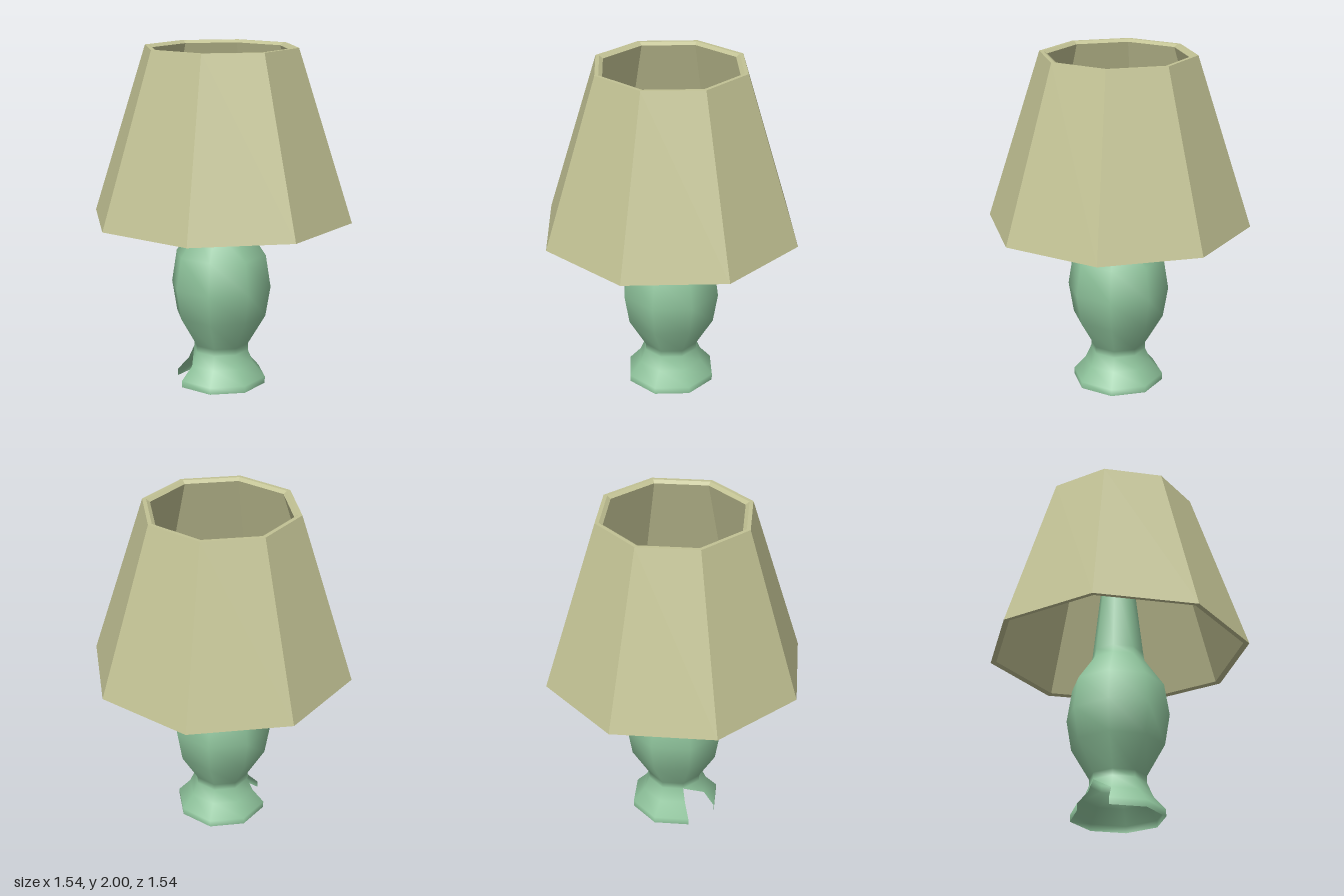
import * as THREE from 'three';

const SIDES = 8;
const points = (list) => list.map(([r, y]) => new THREE.Vector2(r, y));

// Thin-walled eight-sided shade, open at both ends
function makeShade() {
  const profile = points([
    [0.735, 1.015], [0.77, 1.01], [0.45, 2], [0.427, 2], [0.405, 1.985], [0.735, 1.015],
  ]);
  const material = new THREE.MeshStandardMaterial({
    color: 0xc2c294, flatShading: true, side: THREE.DoubleSide,
  });
  const shade = new THREE.Mesh(new THREE.LatheGeometry(profile, SIDES), material);
  shade.name = 'lampShade';
  return shade;
}

// Smooth-shaded vase body: foot, waist, belly and tapering open neck
function makeBody() {
  const profile = points([
    [0.27, 0], [0.27, 0.04], [0.2, 0.12], [0.165, 0.2], [0.165, 0.24], [0.27, 0.42],
    [0.3, 0.6], [0.27, 0.79], [0.158, 0.95], [0.15, 1.0], [0.1, 1.44],
  ]);
  const geometry = new THREE.LatheGeometry(profile, SIDES);

  // Broken-out chip in the foot, back right: two full panels and half of a third
  const chipSide = 5;
  const chipTriangles = 5;
  const index = Array.from(geometry.index.array);
  index.splice(chipSide * (profile.length - 1) * 6, chipTriangles * 3);
  geometry.setIndex(index);

  const material = new THREE.MeshStandardMaterial({ color: 0x8fc49c, side: THREE.DoubleSide });
  const body = new THREE.Mesh(geometry, material);
  body.name = 'vaseBody';
  return body;
}

export function createModel() {
  const lamp = new THREE.Group();
  lamp.name = 'tableLamp';
  lamp.add(makeBody(), makeShade());
  return lamp;
}
